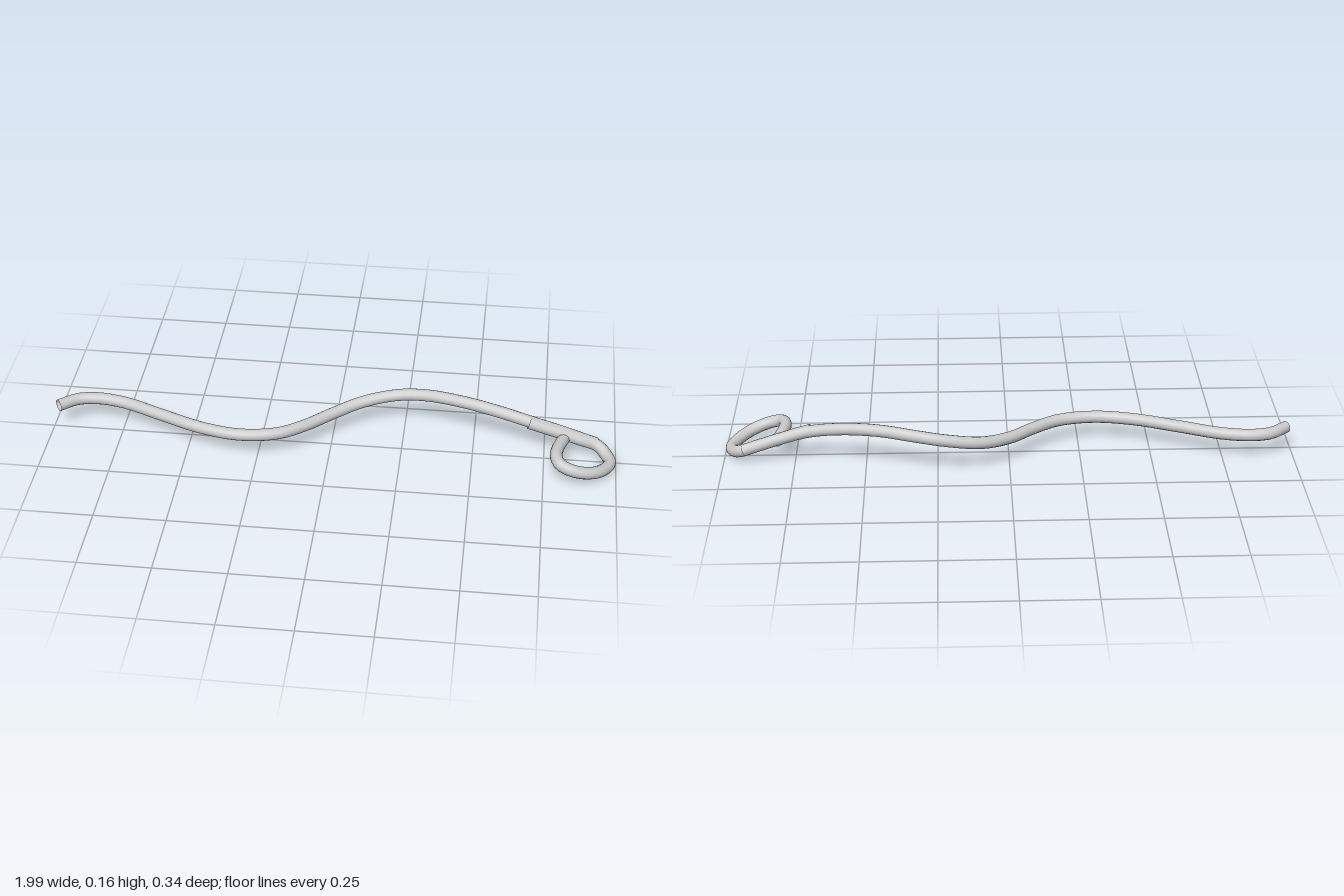
import * as THREE from 'three';

const RADIUS = 0.0215;

// Open round wire swept through a list of [x, y, z] points
function wire(name, points, segments, material) {
  const curve = new THREE.CatmullRomCurve3(points.map(p => new THREE.Vector3(...p)));
  const mesh = new THREE.Mesh(new THREE.TubeGeometry(curve, segments, RADIUS, 14, false), material);
  mesh.name = name;
  return mesh;
}

export function createModel() {
  const group = new THREE.Group();
  group.name = 'bentWireHook';
  const material = new THREE.MeshStandardMaterial({ color: 0xcccccc, side: THREE.DoubleSide });

  // Wavy shaft: flat on one half, arched on the other
  group.add(wire('wavyShaft', [
    [-0.98, 0.086, -0.005], [-0.92, 0.086, -0.053], [-0.85, 0.086, -0.066], [-0.75, 0.086, -0.05],
    [-0.6, 0.086, 0.012], [-0.45, 0.086, 0.072], [-0.31, 0.086, 0.098], [-0.18, 0.086, 0.075],
    [-0.09, 0.086, 0.015], [0, 0.089, -0.065], [0.1, 0.103, -0.128], [0.22, 0.125, -0.152],
    [0.32, 0.138, -0.143], [0.45, 0.145, -0.108], [0.58, 0.137, -0.074], [0.7, 0.117, -0.05],
    [0.8, 0.089, -0.047], [0.93, 0.046, -0.047],
  ], 72, material));

  // Eyelet: straight tail along the shaft, then a tilted loop closing back on it
  const loopHeight = x => 0.078 - (x - 0.79) * 0.295;
  const loop = [
    [0.965, -0.01], [0.978, 0.03], [0.95, 0.09], [0.9, 0.131], [0.845, 0.144],
    [0.805, 0.13], [0.79, 0.09], [0.795, 0.04], [0.815, -0.03],
  ].map(([x, z]) => [x, loopHeight(x), z]);
  group.add(wire('eyelet', [
    [0.69, 0.12, -0.041], [0.78, 0.093, -0.041], [0.87, 0.064, -0.041], [0.935, 0.042, -0.041], ...loop,
  ], 56, material));

  return group;
}
